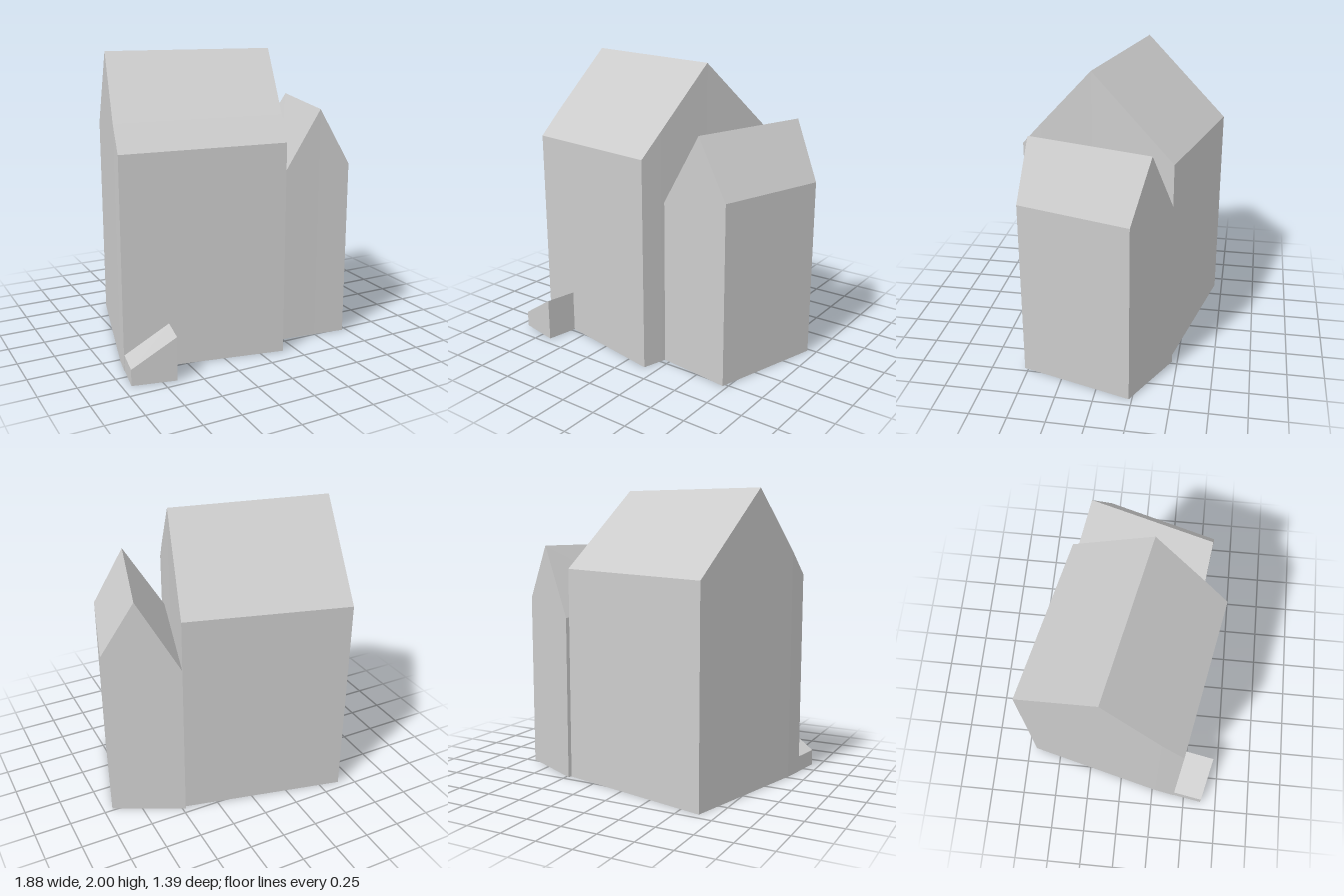
import * as THREE from 'three';

// Solid standing on y = 0, lofted through stations [ax, az, aHeight, bx, bz, bHeight].
function loft(name, stations, material) {
  const pos = [];
  const quad = (p, q, r, s) => pos.push(...p, ...q, ...r, ...p, ...r, ...s);
  const rings = stations.map(([ax, az, ah, bx, bz, bh]) => ({
    a: [ax, 0, az], aTop: [ax, ah, az], b: [bx, 0, bz], bTop: [bx, bh, bz],
  }));
  for (let i = 0; i < rings.length - 1; i++) {
    const m = rings[i], n = rings[i + 1];
    quad(m.aTop, n.aTop, n.bTop, m.bTop); // roof slope
    quad(m.a, m.b, n.b, n.a);             // underside
    quad(m.a, n.a, n.aTop, m.aTop);       // gable wall a
    quad(n.b, m.b, m.bTop, n.bTop);       // gable wall b
  }
  const s = rings[0], e = rings[rings.length - 1];
  quad(s.b, s.a, s.aTop, s.bTop);         // first eaves wall
  quad(e.a, e.b, e.bTop, e.aTop);         // last eaves wall
  const geometry = new THREE.BufferGeometry();
  geometry.setAttribute('position', new THREE.Float32BufferAttribute(pos, 3));
  geometry.computeVertexNormals();
  const mesh = new THREE.Mesh(geometry, material);
  mesh.name = name;
  return mesh;
}

export function createModel() {
  const group = new THREE.Group();
  group.name = 'house';
  const plaster = new THREE.MeshStandardMaterial({ color: 0xcccccc, flatShading: true });
  plaster.name = 'light grey plaster';

  // Main house: back eaves, ridge, bend in the side wall, front eaves
  group.add(loft('mainHouse', [
    [-0.64, -0.695, 1.44, 0.47, -0.44, 1.465],
    [-0.787, -0.11, 2, 0.305, 0.12, 2],
    [-0.882, 0.27, 1.584, 0.201, 0.486, 1.598],
    [-0.91, 0.42, 1.42, 0.158, 0.627, 1.44],
  ], plaster));

  // Side wing: inner eaves, ridge, outer eaves
  group.add(loft('sideWing', [
    [0.207, 0.46, 1.13, 0.48, -0.463, 1.13],
    [0.498, 0.495, 1.615, 0.735, -0.333, 1.615],
    [0.72, 0.525, 1.23, 0.94, -0.23, 1.23],
  ], plaster));

  // Low lean-to against the front wall
  group.add(loft('leanTo', [
    [-0.943, 0.63, 0.11, -0.907, 0.42, 0.11],
    [-0.657, 0.693, 0.295, -0.617, 0.476, 0.295],
  ], plaster));

  return group;
}
